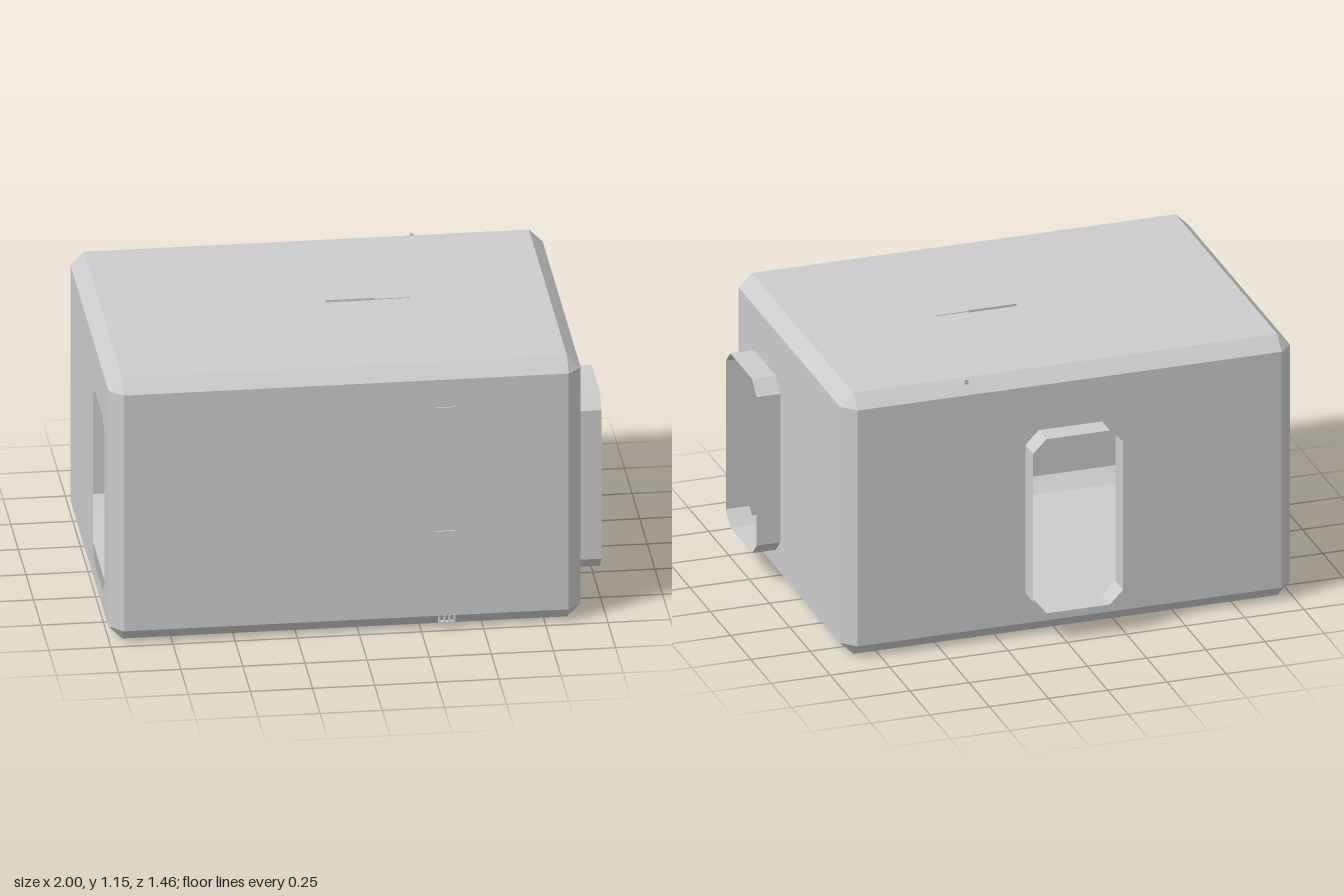
import * as THREE from 'three';

const C = 0.055;                                    // bevel width of the shell
const HALF = new THREE.Vector3(0.95, 0.57, 0.68);   // shell half sizes
const CENTRE = new THREE.Vector3(-0.05, 0.57, 0.045);

const grey = new THREE.MeshStandardMaterial({ color: 0xcccccc, side: THREE.DoubleSide, flatShading: true });
grey.name = 'light grey';

// Doorway outline: a tall rectangle with cut corners, centred at (u, v)
function doorPoints(u, v) {
  const w = 0.19, h = 0.38, c = 0.056;
  return [[w, h - c], [w - c, h], [c - w, h], [-w, h - c],
    [-w, c - h], [c - w, -h], [w - c, -h], [w, c - h]]
    .map(([x, y]) => new THREE.Vector2(u + x, v + y));
}

// Geometry from triangles, each turned to face away from the origin
function outwardTriangles(triangles) {
  const pos = [];
  for (const [a, b, c] of triangles) {
    const n = b.clone().sub(a).cross(c.clone().sub(a));
    const out = n.dot(a.clone().add(b).add(c)) >= 0;
    for (const p of out ? [a, b, c] : [a, c, b]) pos.push(p.x, p.y, p.z);
  }
  const geo = new THREE.BufferGeometry();
  geo.setAttribute('position', new THREE.Float32BufferAttribute(pos, 3));
  geo.computeVertexNormals();
  return geo;
}

// Sloped strips along the twelve edges and triangles at the eight corners
function bevelGeometry() {
  const half = HALF.toArray();
  // Point on the face across `axis`, at the corner given by signs
  const point = (axis, signs) => new THREE.Vector3(
    ...half.map((h, i) => signs[i] * (i === axis ? h : h - C)));
  const tris = [];
  for (const sx of [-1, 1]) for (const sy of [-1, 1]) for (const sz of [-1, 1]) {
    tris.push([0, 1, 2].map((axis) => point(axis, [sx, sy, sz])));
  }
  for (let along = 0; along < 3; along++) {
    const i = (along + 1) % 3, j = (along + 2) % 3;
    for (const si of [-1, 1]) for (const sj of [-1, 1]) {
      const a = [0, 0, 0];
      a[i] = si; a[j] = sj; a[along] = -1;
      const b = a.slice();
      b[along] = 1;
      const p = point(i, a), q = point(j, a), r = point(j, b), s = point(i, b);
      tris.push([p, q, r], [p, r, s]);
    }
  }
  return outwardTriangles(tris);
}

// Open tube that follows a doorway outline outward from the wall
function collarGeometry(points, depth) {
  const pos = [];
  points.forEach((p, i) => {
    const q = points[(i + 1) % points.length];
    pos.push(p.x, p.y, 0, q.x, q.y, 0, q.x, q.y, depth,
      p.x, p.y, 0, q.x, q.y, depth, p.x, p.y, depth);
  });
  const geo = new THREE.BufferGeometry();
  geo.setAttribute('position', new THREE.Float32BufferAttribute(pos, 3));
  geo.computeVertexNormals();
  return geo;
}

export function createModel() {
  const model = new THREE.Group();
  model.name = 'roomModule';
  const shell = new THREE.Group();
  shell.name = 'shell';
  shell.position.copy(CENTRE);
  model.add(shell);

  const add = (parent, name, geo) => {
    const mesh = new THREE.Mesh(geo, grey);
    mesh.name = name;
    parent.add(mesh);
    return mesh;
  };

  // Flat walls: [name, half width, half height, distance, rotX, rotY, door offset, collar depth]
  const q = Math.PI / 2;
  const walls = [
    ['frontWall', HALF.x, HALF.y, HALF.z, 0, 0, null, 0],
    ['backWall', HALF.x, HALF.y, HALF.z, 0, Math.PI, 0.003, 0.095],
    ['leftWall', HALF.z, HALF.y, HALF.x, 0, q, -0.303, 0.1],
    ['rightWall', HALF.z, HALF.y, HALF.x, 0, -q, 0.303, 0],
    ['roof', HALF.x, HALF.z, HALF.y, -q, 0, null, 0],
    ['floor', HALF.x, HALF.z, HALF.y, q, 0, null, 0],
  ];
  for (const [name, hw, hh, dist, rx, ry, door, depth] of walls) {
    const w = hw - C, h = hh - C;
    const side = new THREE.Group();
    side.name = name + 'Group';
    side.rotation.set(rx, ry, 0);
    shell.add(side);
    const shape = new THREE.Shape([[-w, -h], [w, -h], [w, h], [-w, h]]
      .map(([x, y]) => new THREE.Vector2(x, y)));
    if (door !== null) {
      const outline = doorPoints(door, -0.06);
      shape.holes.push(new THREE.Path(outline));
      if (depth) add(side, name + 'DoorCollar', collarGeometry(outline, depth)).position.z = dist;
    }
    add(side, name, new THREE.ShapeGeometry(shape)).position.z = dist;
  }
  add(shell, 'bevels', bevelGeometry());

  // Small fittings, each a box given by centre and size
  const fitting = (name, x, y, z, w, h, d) =>
    add(model, name, new THREE.BoxGeometry(w, h, d)).position.set(x, y, z);

  fitting('roofRidge', 0.05, 1.143, 0.027, 0.2, 0.014, 0.016);
  fitting('roofRidgeTip', 0.21, 1.141, 0.029, 0.16, 0.005, 0.004);
  fitting('rearRoofClip', 0.375, 1.13, -0.6, 0.015, 0.02, 0.015);
  for (const y of [0.42, 0.96]) fitting('frontRail', 0.35, y, 0.727, 0.09, 0.012, 0.008);
  for (let i = 0; i < 4; i++) {
    fitting('lowerTooth', 0.325 + i * 0.02, 0.04, 0.72, 0.007, 0.034, 0.02);
    for (const y of [0.57, 0.76]) fitting('frontStud', -0.5 + i * 0.052, y, 0.725, 0.008, 0.006, 0.003);
  }
  fitting('lowerToothBar', 0.355, 0.026, 0.72, 0.067, 0.006, 0.02);
  return model;
}
